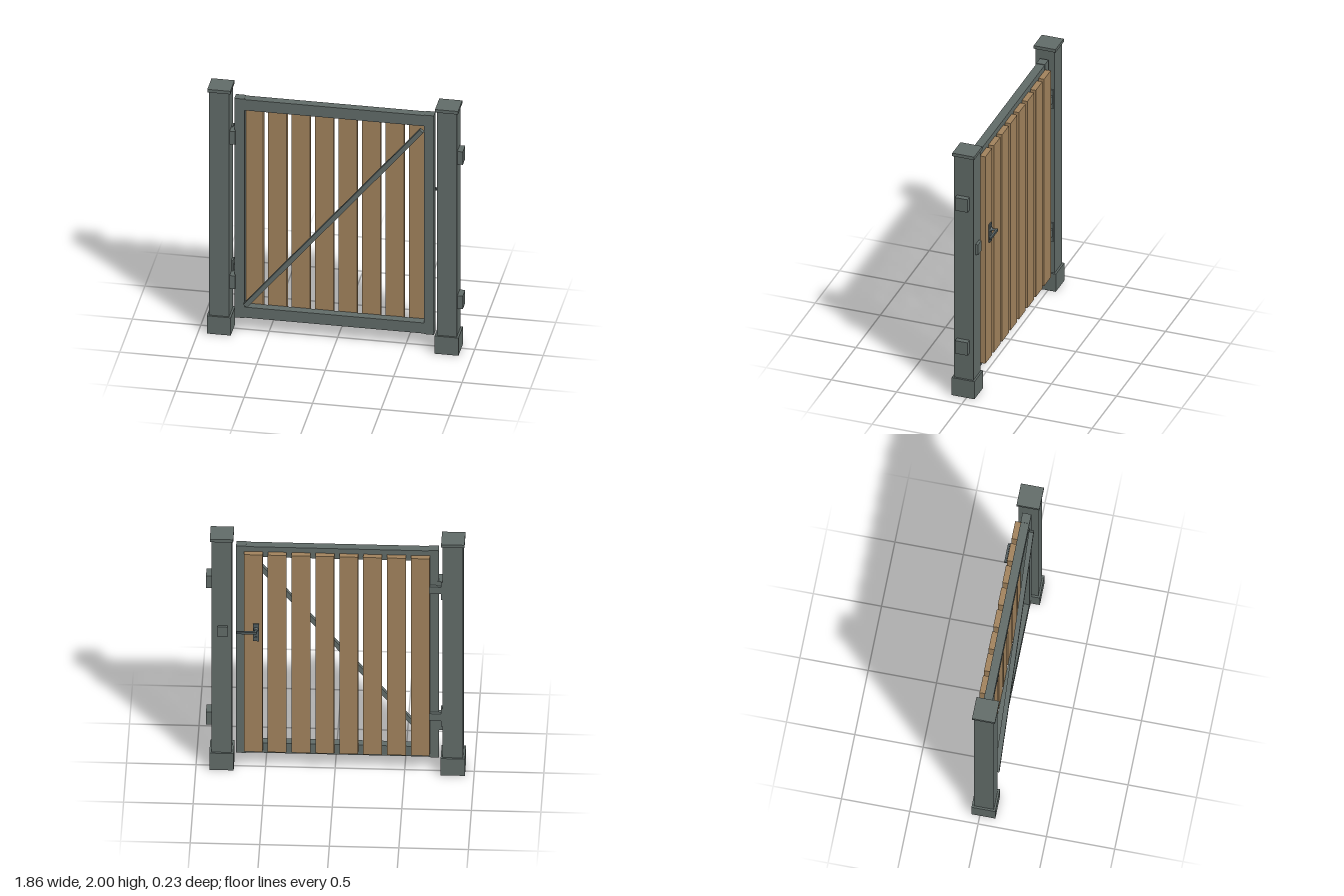
import * as THREE from 'three';

export function createModel() {
  const gate = new THREE.Group();
  gate.name = 'gardenGate';

  const frameGrey = new THREE.MeshStandardMaterial({ color: 0x626c69 });
  frameGrey.name = 'frameGrey';
  const wood = new THREE.MeshStandardMaterial({ color: 0xa2835d });
  wood.name = 'wood';
  const handleGrey = new THREE.MeshStandardMaterial({ color: 0x525d5f });
  handleGrey.name = 'handleGrey';

  // Box given by its lower and upper limits on each axis
  function box(name, x0, x1, y0, y1, z0, z1, material = frameGrey, parent = gate) {
    const mesh = new THREE.Mesh(new THREE.BoxGeometry(x1 - x0, y1 - y0, z1 - z0), material);
    mesh.position.set((x0 + x1) / 2, (y0 + y1) / 2, (z0 + z1) / 2);
    mesh.name = name;
    parent.add(mesh);
    return mesh;
  }

  // Round bar between two points
  function rod(name, a, b, r0, r1, parent) {
    const from = new THREE.Vector3(...a);
    const dir = new THREE.Vector3(...b).sub(from);
    const mesh = new THREE.Mesh(new THREE.CylinderGeometry(r1, r0, dir.length(), 16), handleGrey);
    mesh.position.copy(from).addScaledVector(dir, 0.5);
    mesh.quaternion.setFromUnitVectors(new THREE.Vector3(0, 1, 0), dir.normalize());
    mesh.name = name;
    parent.add(mesh);
  }

  // Posts with foot, cap and two hinge blocks on the +x side
  const postZ = 0.0265;
  for (const [name, x] of [['rightPost', -0.848], ['leftPost', 0.815]]) {
    const post = new THREE.Group();
    post.name = name;
    gate.add(post);
    const centred = (part, half, y0, y1) =>
      box(part, x - half, x + half, y0, y1, postZ - half, postZ + half, frameGrey, post);
    centred('postShaft', 0.073, 0.14, 1.98);
    centred('postFoot', 0.0875, 0, 0.145);
    centred('postCap', 0.084, 1.975, 2);
    for (const y of [0.418, 1.601]) {
      box('hingeBlock', x + 0.073, x + 0.113, y - 0.053, y + 0.053, -0.017, 0.078, frameGrey, post);
    }
  }

  // Gate frame
  box('rightStile', -0.745, -0.672, 0.12, 1.915, -0.01, 0.055);
  box('leftStile', 0.64, 0.712, 0.12, 1.915, -0.01, 0.055);
  box('topRail', -0.672, 0.64, 1.823, 1.911, -0.009, 0.054);
  box('bottomRail', -0.672, 0.64, 0.124, 0.21, -0.009, 0.054);

  // Diagonal brace on the front
  const start = new THREE.Vector2(-0.66, 0.238);
  const end = new THREE.Vector2(0.628, 1.797);
  const length = start.distanceTo(end);
  const brace = box('brace', -length / 2, length / 2, 0, 0.035, 0.055, 0.09);
  brace.position.set((start.x + end.x) / 2, (start.y + end.y) / 2, 0.0725);
  brace.rotation.z = end.clone().sub(start).angle();

  // Upright planks on the back
  for (let i = 0; i < 8; i++) {
    const x = -0.681 + i * 0.1715;
    box('plank', x, x + 0.135, 0.16, 1.87, -0.052, -0.01, wood);
  }

  // Hinge straps on the back of the frame
  for (const y of [0.485, 1.585]) {
    box('hingeLeaf', -0.775, -0.762, y - 0.075, y + 0.075, -0.04, 0.01);
    box('hingeStrap', -0.775, -0.681, y - 0.03, y + 0.03, -0.035, -0.01);
  }

  // Latch keeper on the back of the post
  box('latchKeeper', 0.772, 0.842, 1.16, 1.245, -0.066, -0.046);

  // Lever handle with back plate and lock cylinder
  const handle = new THREE.Group();
  handle.name = 'handle';
  gate.add(handle);
  box('handlePlate', 0.546, 0.588, 1.127, 1.275, -0.062, -0.052, handleGrey, handle);
  rod('handleCollar', [0.567, 1.229, -0.062], [0.567, 1.229, -0.076], 0.018, 0.01, handle);
  rod('handleSpindle', [0.567, 1.229, -0.06], [0.567, 1.229, -0.113], 0.008, 0.008, handle);
  box('handleLever', 0.56, 0.705, 1.22, 1.238, -0.114, -0.098, handleGrey, handle);
  rod('lockCylinder', [0.567, 1.16, -0.06], [0.567, 1.16, -0.07], 0.009, 0.009, handle);

  return gate;
}
